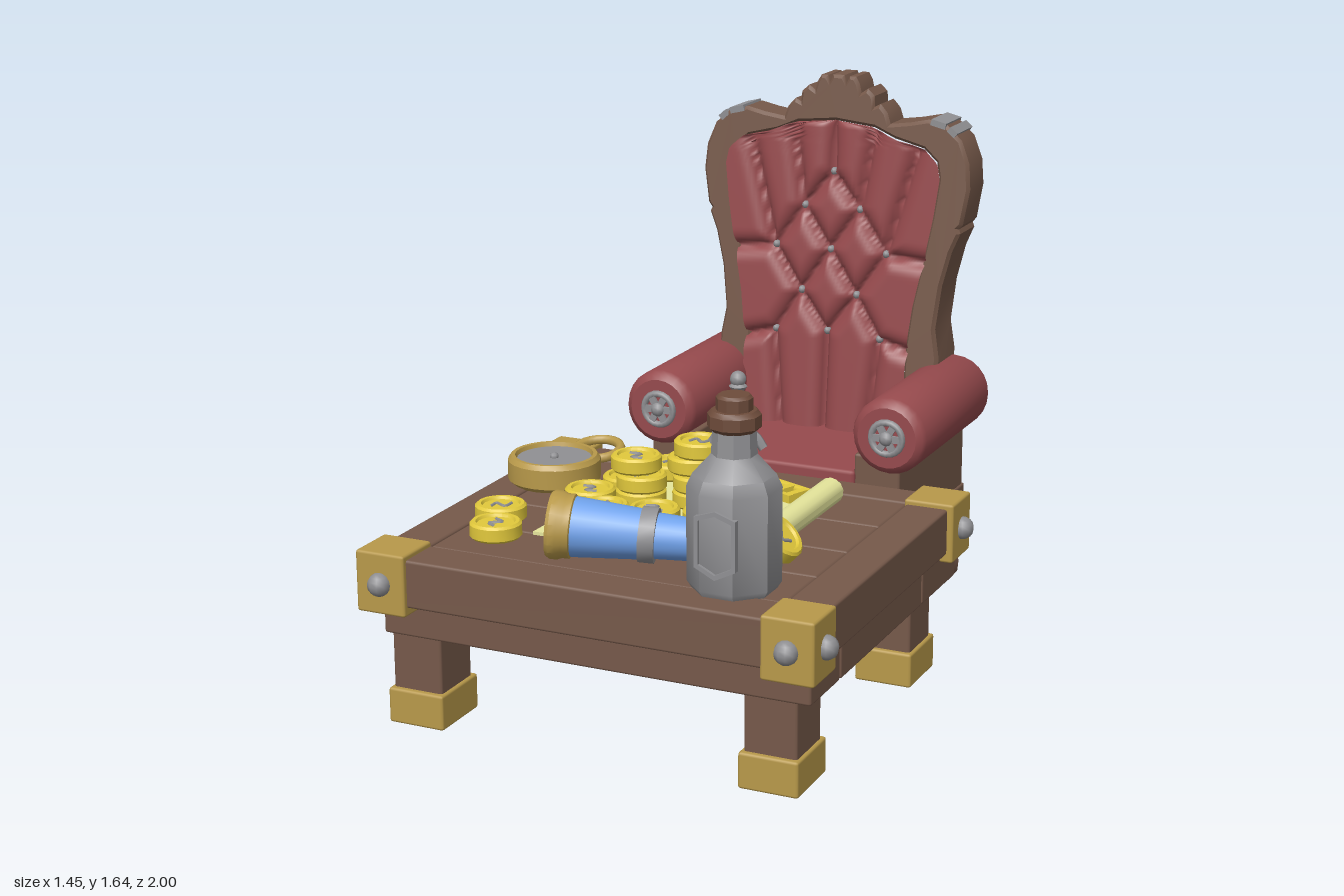
import * as THREE from 'three';
import { toCreasedNormals } from 'three/addons/utils/BufferGeometryUtils.js';
import { RoundedBoxGeometry } from 'three/addons/geometries/RoundedBoxGeometry.js';

const mat = (color) => new THREE.MeshStandardMaterial({ color });
const WOOD = mat(0x76594a), RED = mat(0x964a4d), BRASS = mat(0xb8994a), GOLD = mat(0xe2c93c),
  STEEL = mat(0x909093), BLUE = mat(0x70a2ea), PAPER = mat(0xe6e69c), CORK = mat(0x6e4c3b);
PAPER.side = THREE.DoubleSide;

const V = (x, y, z) => new THREE.Vector3(x, y, z);
const P = (list) => list.map(([x, y]) => new THREE.Vector2(x, y));

function add(parent, name, geo, material, x = 0, y = 0, z = 0) {
  const m = new THREE.Mesh(geo, material);
  m.name = name;
  m.position.set(x, y, z);
  parent.add(m);
  return m;
}
function group(parent, name, x = 0, y = 0, z = 0) {
  const g = new THREE.Group();
  g.name = name;
  g.position.set(x, y, z);
  parent.add(g);
  return g;
}
// chamfered block given by its limits on each axis
function block(parent, name, material, [x0, x1], [y0, y1], [z0, z1], r = 0.008) {
  return add(parent, name, new RoundedBoxGeometry(x1 - x0, y1 - y0, z1 - z0, 1, r), material,
    (x0 + x1) / 2, (y0 + y1) / 2, (z0 + z1) / 2);
}
const lathe = (pts, seg) => toCreasedNormals(new THREE.LatheGeometry(P(pts), seg), 0.6);
const tube = (pts, r, n = 12) => new THREE.TubeGeometry(new THREE.CatmullRomCurve3(pts), n, r, 5);
const flatRing = (r, t) => new THREE.TorusGeometry(r, t, 8, 24).rotateX(Math.PI / 2);

function buildTable(root) {
  const t = group(root, 'table');
  // frame boards and inner planks
  for (const z of [[-0.22, -0.1], [0.81, 0.95]]) block(t, 'endBoard', WOOD, [-0.66, 0.66], [0.38, 0.52], z);
  for (const x of [[-0.67, -0.54], [0.54, 0.67]]) block(t, 'sideBoard', WOOD, x, [0.38, 0.52], [-0.1, 0.81]);
  const cuts = [-0.1, 0.13, 0.37, 0.59, 0.81];
  for (let i = 0; i < 4; i++) block(t, 'topPlank', WOOD, [-0.54, 0.54], [0.39, 0.517], [cuts[i], cuts[i + 1]]);
  for (const z of [[-0.225, 0.056], [0.06, 0.68], [0.685, 0.89]]) block(t, 'underPlank', WOOD, [-0.65, 0.65], [0.27, 0.39], z);
  // legs, corner caps and studs
  for (const sx of [-1, 1]) for (const [legZ, capZ, sz] of [[-0.052, -0.162, -1], [0.79, 0.888, 1]]) {
    const lx = sx < 0 ? -0.557 : 0.527, cx = sx * 0.612;
    block(t, 'leg', WOOD, [lx - 0.078, lx + 0.078], [0.08, 0.29], [legZ - 0.083, legZ + 0.083]);
    block(t, 'legShoe', BRASS, [lx - 0.088, lx + 0.088], [0, 0.105], [legZ - 0.1, legZ + 0.1]);
    block(t, 'cornerCap', BRASS, [cx - 0.077, cx + 0.077], [0.355, 0.535], [capZ - 0.077, capZ + 0.077]);
    const stud = new THREE.SphereGeometry(0.034, 10, 8);
    add(t, 'stud', stud, STEEL, cx, 0.445, capZ + sz * 0.08);
    add(t, 'stud', stud, STEEL, cx + sx * 0.08, 0.445, capZ);
  }
}

// front and rear planes of the leaning chair back
const frontZ = (y) => -0.79 - 0.075 * (y - 0.74) / 0.9;
const rearZ = (y) => -0.97 - 0.025 * (y - 0.74) / 0.9;
const buttons = [[0, 1.335], [0.095, 1.22], [0, 1.085], [0.19, 1.085], [0.095, 0.945], [0, 0.82], [0.18, 0.81]];
const seams = [[0, 1.335, 0, 1.51], [0, 1.335, 0.095, 1.22], [0.095, 1.22, 0, 1.085], [0.095, 1.22, 0.19, 1.085],
  [0.19, 1.085, 0.095, 0.945], [0, 1.085, 0.095, 0.945], [0.095, 0.945, 0, 0.82], [0.095, 0.945, 0.18, 0.81],
  [0.19, 1.085, 0.34, 1.07], [0.18, 0.81, 0.3, 0.78], [0.18, 0.81, 0.15, 0.5], [0, 0.82, 0, 0.5],
  [0.095, 1.22, 0.14, 1.5], [0.19, 1.085, 0.29, 1.45]];
const innerEdge = [[0.265, 0.45], [0.27, 0.8], [0.285, 0.93], [0.315, 1.08], [0.34, 1.22], [0.355, 1.34], [0.345, 1.39],
  [0.3, 1.43], [0.2, 1.455], [0.13, 1.485], [0, 1.498]];
const outerEdge = [[0.375, 0.45], [0.378, 0.77], [0.362, 0.86], [0.378, 1.0], [0.405, 1.11], [0.43, 1.17], [0.424, 1.185],
  [0.437, 1.2], [0.455, 1.31], [0.448, 1.39], [0.42, 1.46], [0.37, 1.505], [0.31, 1.518], [0.25, 1.505], [0.18, 1.495],
  [0.168, 1.53], [0.145, 1.555], [0.125, 1.545], [0.122, 1.58], [0.1, 1.6], [0.078, 1.585], [0.07, 1.615], [0.058, 1.635],
  [0.038, 1.635], [0.028, 1.615], [0.018, 1.638]];

// padding dips along the seams
function puff(x, y) {
  let d = 1;
  for (const [ax, ay, bx, by] of seams) {
    const dx = bx - ax, dy = by - ay, px = Math.abs(x) - ax, py = y - ay;
    const k = THREE.MathUtils.clamp((px * dx + py * dy) / (dx * dx + dy * dy), 0, 1);
    d = Math.min(d, Math.hypot(px - k * dx, py - k * dy));
  }
  return Math.sqrt(1 - (1 - Math.min(d / 0.055, 1)) ** 2);
}
function halfWidth(y) {
  for (let i = 1; i < innerEdge.length; i++) {
    const [x0, y0] = innerEdge[i - 1], [x1, y1] = innerEdge[i];
    if (y <= y1) return x0 + (x1 - x0) * (y - y0) / (y1 - y0) + 0.012;
  }
  return 0.012;
}
function padding(side) {
  const g = new THREE.PlaneGeometry(2, 1, 60, 90), p = g.attributes.position;
  for (let i = 0; i < p.count; i++) {
    const y = 0.48 + (p.getY(i) + 0.5) * 1.018, x = p.getX(i) * halfWidth(y), h = puff(x, y);
    p.setXYZ(i, x * side, y, side > 0 ? frontZ(y) - 0.025 + 0.05 * h : rearZ(y) + 0.035 - 0.035 * h);
  }
  g.computeVertexNormals();
  return g;
}

function buildChair(root) {
  const c = group(root, 'chair', -0.006);
  // carved frame of the back
  const mirror = (list) => list.map(([x, y]) => [-x, y]);
  const outline = [...outerEdge, ...mirror(outerEdge).reverse(), ...mirror(innerEdge), ...innerEdge.slice(0, -1).reverse()];
  const frame = new THREE.ExtrudeGeometry(new THREE.Shape(P(outline)),
    { depth: 0.84, bevelThickness: 0.08, bevelSize: 0.01, bevelOffset: -0.008, bevelSegments: 1 });
  const p = frame.attributes.position;
  for (let i = 0; i < p.count; i++) {
    const y = p.getY(i), k = (p.getZ(i) + 0.08);
    p.setZ(i, THREE.MathUtils.lerp(rearZ(y), frontZ(y), k));
  }
  add(c, 'backFrame', toCreasedNormals(frame, 0.5), WOOD);
  add(c, 'frontPadding', padding(1), RED);
  add(c, 'rearPadding', padding(-1), RED);
  for (const [x, y] of buttons) for (const s of x ? [-1, 1] : [1])
    add(c, 'button', new THREE.SphereGeometry(0.013, 8, 6), STEEL, s * x, y, frontZ(y) - 0.008);
  // seat and base
  block(c, 'seat', RED, [-0.275, 0.275], [0.315, 0.505], [-0.968, -0.357], 0.012);
  block(c, 'baseBoard', WOOD, [-0.425, 0.425], [0.2, 0.315], [-0.962, -0.357]);
  for (const s of [-1, 1]) {
    const side = block(c, 'armPanel', WOOD, [-0.075, 0.075], [0.31, 0.56], [-0.952, -0.367]);
    side.position.x = s * 0.345;
    // padded arm with a rosette
    const arm = lathe([[0, 0], [0.09, 0], [0.112, 0.012], [0.12, 0.035], [0.12, 0.6], [0.112, 0.618], [0.095, 0.63], [0, 0.63]], 24);
    add(c, 'arm', arm.rotateX(Math.PI / 2), RED, s * 0.385, 0.63, -0.972);
    const r = group(c, 'armRosette', s * 0.385, 0.63, -0.342);
    add(r, 'rosetteRing', new THREE.TorusGeometry(0.05, 0.011, 6, 20), STEEL);
    add(r, 'rosetteCenter', new THREE.SphereGeometry(0.024, 10, 8), STEEL);
    for (let i = 0; i < 6; i++) {
      const a = i * Math.PI / 3;
      const petal = add(r, 'rosettePetal', new THREE.BoxGeometry(0.04, 0.022, 0.016), STEEL, Math.cos(a) * 0.032, Math.sin(a) * 0.032, 0);
      petal.rotation.z = a;
    }
    // metal straps on the shoulders
    for (const [x, y, w, a] of [[0.345, 1.509, 0.05, -0.24], [0.392, 1.487, 0.03, -0.72]]) {
      const strap = add(c, 'shoulderStrap', new THREE.BoxGeometry(w, 0.02, 0.142), STEEL, s * x, y, -0.922);
      strap.rotation.z = s * a;
    }
    for (const z of [-0.435, -0.877]) {
      const foot = add(c, 'foot', lathe([[0, 0], [0.075, 0], [0.095, 0.025], [0.098, 0.06], [0.088, 0.095], [0.066, 0.135], [0.062, 0.165], [0.075, 0.2], [0, 0.2]], 8), WOOD, s * 0.337, 0, z);
      foot.rotation.y = Math.PI / 8;
    }
  }
}

function buildCoin(parent, x, y, z, turn = 0) {
  const c = group(parent, 'coin', x, y, z);
  c.rotation.y = turn;
  add(c, 'coinDisc', lathe([[0, 0], [0.068, 0], [0.075, 0.007], [0.075, 0.041], [0.068, 0.048], [0.057, 0.048], [0.053, 0.04], [0, 0.04]], 18), GOLD);
  const wave = [[-0.03, 0.015], [-0.012, -0.015], [0.012, 0.015], [0.03, -0.015]].map(([a, b]) => V(a, 0.04, b));
  add(c, 'waveMark', tube(wave, 0.006), STEEL);
  return c;
}

function buildTreasure(root) {
  const t = group(root, 'tableObjects');
  // parchment with a rolled edge and ink strokes
  const sheet = new THREE.Shape(P([[-0.325, 0], [-0.03, 0], [0, -0.018], [0.03, 0], [0.34, 0], [0.34, -0.605], [0.02, -0.605], [-0.05, -0.595], [-0.09, -0.605], [-0.325, -0.605], [-0.318, -0.4]]));
  add(t, 'parchment', new THREE.ExtrudeGeometry(sheet, { depth: 0.01, bevelEnabled: false }).rotateX(-Math.PI / 2), PAPER, 0, 0.518, 0);
  add(t, 'parchmentRoll', toCreasedNormals(new THREE.CylinderGeometry(0.04, 0.04, 0.61, 14).rotateX(Math.PI / 2), 0.6), PAPER, 0.338, 0.56, 0.305);
  for (const line of [[[-0.16, 0.47], [-0.11, 0.5], [-0.06, 0.46]], [[0.1, 0.49], [0.16, 0.46], [0.2, 0.48]], [[0.23, 0.21], [0.235, 0.24], [0.23, 0.26]], [[0.22, 0.3], [0.2, 0.33], [0.17, 0.34]], [[-0.15, 0.13], [-0.16, 0.16], [-0.18, 0.18]]])
    add(t, 'inkStroke', tube(line.map(([x, z]) => V(x, 0.527, z)), 0.005), STEEL);
  // coins: x, z, number in the pile
  [[-0.19, -0.03, 1], [-0.255, 0.145, 1], [-0.3, 0.3, 1], [-0.16, 0.255, 3], [-0.195, 0.42, 1], [-0.05, 0.385, 1],
    [-0.005, 0.195, 4], [0.145, 0.175, 1], [0.1, 0.34, 1], [-0.465, 0.54, 1], [-0.4, 0.685, 1]].forEach(([x, z, n], i) => {
    for (let k = 0; k < n; k++)
      buildCoin(t, x + 0.012 * Math.sin(k * 2.4), 0.528 + k * 0.052, z + (n > 1 ? 0.018 * Math.cos(k * 3 + 2) : 0), i * 1.1 + k);
  });
  buildCoin(t, 0.385, 0.575, 0.54).rotation.z = -0.75;

  // compass with its hanging ring
  const c = group(t, 'compass', -0.507, 0.518, 0.137);
  add(c, 'compassCase', lathe([[0, 0], [0.125, 0], [0.14, 0.014], [0.14, 0.072], [0.13, 0.086], [0.118, 0.086], [0.112, 0.066], [0, 0.066]], 24), BRASS);
  add(c, 'compassFace', new THREE.CylinderGeometry(0.113, 0.113, 0.012, 24), STEEL, 0, 0.068, 0);
  add(c, 'compassPin', new THREE.SphereGeometry(0.014, 8, 6), STEEL, 0, 0.076, 0);
  add(c, 'compassLoop', new RoundedBoxGeometry(0.05, 0.04, 0.05, 1, 0.008), BRASS, 0.01, 0.04, -0.145);
  add(c, 'hangingRing', flatRing(0.07, 0.015), BRASS, 0.033, 0.042, -0.222).rotation.x = 0.15;

  // key
  const k = group(t, 'key', -0.02, 0.545, -0.115);
  k.rotation.y = -0.39;
  add(k, 'keyBow', flatRing(0.05, 0.015), GOLD).scale.z = 1.25;
  add(k, 'keyEyelet', flatRing(0.024, 0.01), GOLD, -0.083, 0, -0.01);
  add(k, 'keyCollar', new THREE.CylinderGeometry(0.024, 0.024, 0.025, 10).rotateZ(Math.PI / 2), GOLD, 0.07, 0, 0);
  add(k, 'keyShaft', new THREE.CylinderGeometry(0.014, 0.014, 0.27, 8).rotateZ(Math.PI / 2), GOLD, 0.19, 0, 0);
  for (const [x, l] of [[0.25, 0.065], [0.305, 0.08]]) {
    add(k, 'keyTooth', new THREE.BoxGeometry(0.024, 0.024, l), GOLD, x, 0, l / 2);
    add(k, 'keyToothTip', new THREE.BoxGeometry(0.04, 0.024, 0.018), GOLD, x - 0.005, 0, l);
  }

  // dagger stuck in the table
  const d = group(t, 'dagger', 0.245, 0.515, 0.457);
  add(d, 'blade', toCreasedNormals(new THREE.CylinderGeometry(0.034, 0.008, 0.33, 4), 0.3), STEEL, 0, 0.165, 0).scale.z = 0.5;
  add(d, 'crossGuard', tube([V(-0.078, 0.3, 0), V(-0.05, 0.335, 0), V(0, 0.34, 0), V(0.05, 0.335, 0), V(0.078, 0.3, 0)], 0.014, 16), STEEL);
  add(d, 'guardBoss', new THREE.SphereGeometry(0.034, 10, 8), STEEL, 0, 0.335, 0);
  add(d, 'grip', lathe([[0.016, 0.35], [0.024, 0.37], [0.015, 0.39], [0.021, 0.42], [0.015, 0.455], [0.026, 0.47], [0.015, 0.48]], 10), STEEL);
  add(d, 'pommel', new THREE.SphereGeometry(0.023, 10, 8), STEEL, 0, 0.49, 0);

  // bottle
  const b = group(t, 'bottle', 0.37, 0.517, 0.757);
  add(b, 'bottleGlass', lathe([[0, 0], [0.115, 0], [0.128, 0.02], [0.128, 0.285], [0.112, 0.32], [0.062, 0.375], [0.058, 0.45], [0, 0.45]], 8), STEEL).rotation.y = Math.PI / 8;
  add(b, 'bottleCollar', lathe([[0, 0.44], [0.06, 0.44], [0.073, 0.452], [0.073, 0.485], [0.062, 0.497], [0, 0.497]], 10), CORK);
  add(b, 'stopper', lathe([[0, 0.49], [0.05, 0.49], [0.05, 0.53], [0.042, 0.538], [0, 0.538]], 10), CORK);
  const shield = new THREE.Shape(P([[-0.06, 0.23], [0, 0.25], [0.06, 0.23], [0.06, 0.09], [0, 0.06], [-0.06, 0.09]]));
  shield.holes.push(new THREE.Path(P([[-0.048, 0.22], [-0.048, 0.098], [0, 0.074], [0.048, 0.098], [0.048, 0.22], [0, 0.237]])));
  for (const a of [0, Math.PI])
    add(b, 'labelRim', new THREE.ExtrudeGeometry(shield, { depth: 0.02, bevelEnabled: false }).translate(0, 0, 0.108), STEEL).rotation.y = a;

  // spyglass lying on the table
  const from = V(-0.19, 0.612, 0.743), to = V(0.24, 0.578, 0.605);
  const s = group(t, 'spyglass', from.x, from.y, from.z);
  s.quaternion.setFromUnitVectors(V(0, 1, 0), to.clone().sub(from).normalize());
  add(s, 'spyglassRim', lathe([[0.074, 0.03], [0.074, 0], [0.09, -0.005], [0.096, 0.005], [0.096, 0.025], [0.09, 0.04], [0.09, 0.06], [0.08, 0.065]], 20), BRASS);
  add(s, 'spyglassTube', lathe([[0, 0.025], [0.084, 0.025], [0.084, 0.07], [0.07, 0.26], [0.066, 0.26], [0.058, 0.43], [0, 0.43]], 20), BLUE);
  add(s, 'spyglassBand', lathe([[0.06, 0.25], [0.078, 0.25], [0.078, 0.295], [0.06, 0.295]], 20), STEEL);
  add(s, 'spyglassEyepiece', lathe([[0.055, 0.415], [0.064, 0.415], [0.064, 0.45], [0.045, 0.455], [0.04, 0.44], [0, 0.44]], 20), BRASS);
}

export function createModel() {
  const root = new THREE.Group();
  root.name = 'treasureTableAndChair';
  buildTable(root);
  buildChair(root);
  buildTreasure(root);
  return root;
}
